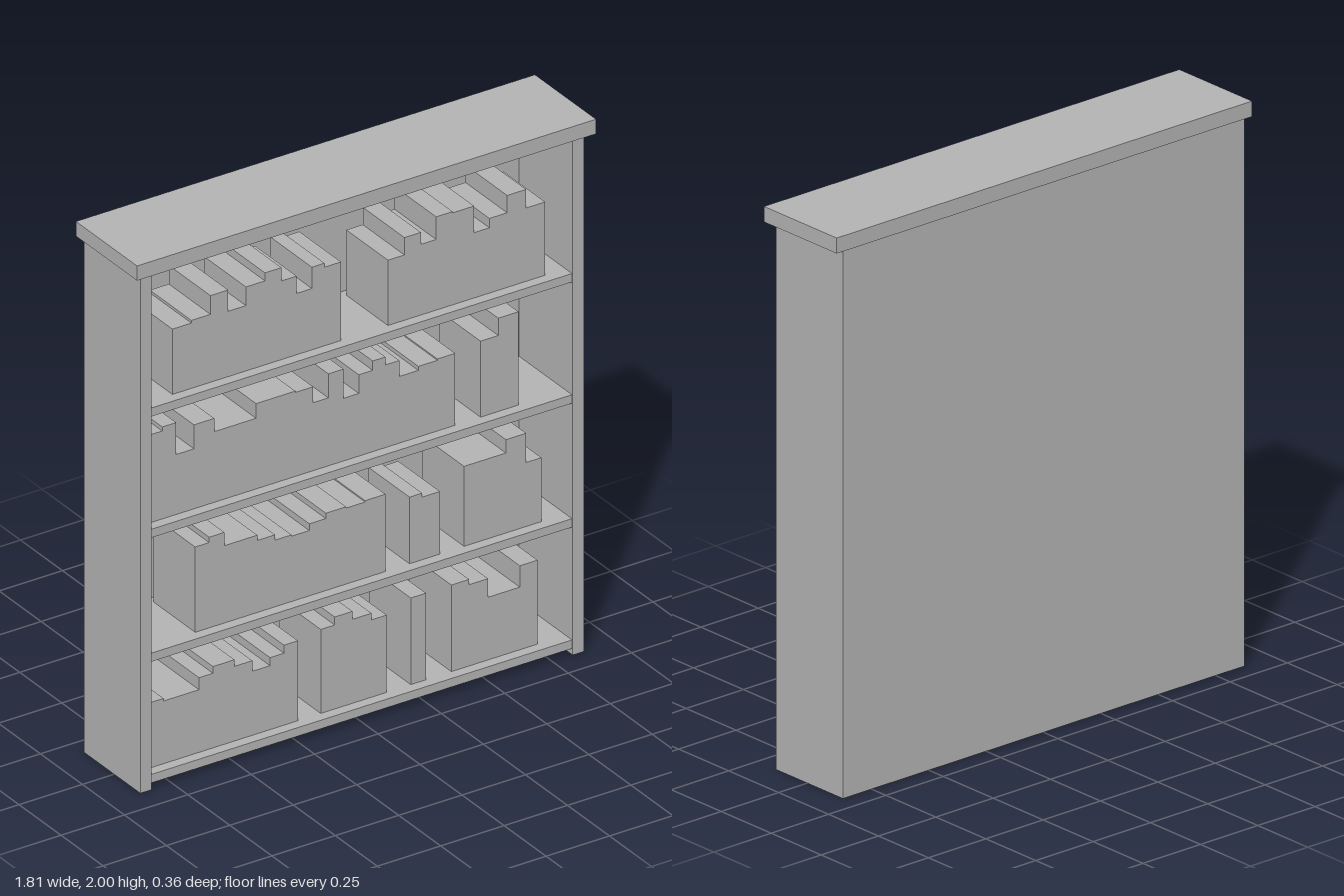
import * as THREE from 'three';

export function createModel() {
  const model = new THREE.Group();
  model.name = 'bookcase';
  const grey = new THREE.MeshStandardMaterial({ color: 0xb2b2b2 });
  grey.name = 'plain grey';

  // Box given by its lower and upper limits on each axis
  function box(name, [x0, x1], [y0, y1], [z0, z1], parent = model) {
    const mesh = new THREE.Mesh(new THREE.BoxGeometry(x1 - x0, y1 - y0, z1 - z0), grey);
    mesh.position.set((x0 + x1) / 2, (y0 + y1) / 2, (z0 + z1) / 2);
    mesh.name = name;
    parent.add(mesh);
  }

  // Carcass
  box('top', [-0.905, 0.905], [1.945, 2], [-0.182, 0.182]);
  box('rightSide', [-0.875, -0.83], [0, 1.945], [-0.178, 0.156]);
  box('leftSide', [0.83, 0.875], [0, 1.945], [-0.178, 0.156]);
  box('backPanel', [-0.83, 0.83], [0, 1.945], [-0.178, -0.163]);

  // Shelves, named from the bottom up
  const shelfTops = [0.055, 0.51, 0.975, 1.43];
  shelfTops.forEach((y, i) => {
    box(`shelf${i + 1}`, [-0.83, 0.83], [y - 0.032, y], [-0.163, 0.152]);
  });

  // A run of upright books standing side by side from x = start
  function bookRun(shelf, start, widths, heights) {
    const run = new THREE.Group();
    run.name = `booksOnShelf${shelf}`;
    const y = shelfTops[shelf - 1];
    let x = start;
    widths.forEach((w, i) => {
      box('book', [x, x + w], [y, y + heights[i]], [-0.135, 0.113], run);
      x += w;
    });
    model.add(run);
  }

  // Bottom shelf
  bookRun(1, -0.815, [0.06, 0.08, 0.06, 0.055, 0.085, 0.07, 0.07, 0.055, 0.055],
    [0.245, 0.235, 0.235, 0.28, 0.305, 0.28, 0.24, 0.27, 0.3]);
  bookRun(1, -0.135, [0.055, 0.07, 0.075, 0.06], [0.315, 0.345, 0.315, 0.29]);
  bookRun(1, 0.22, [0.06], [0.325]);
  bookRun(1, 0.38, [0.07, 0.075, 0.06, 0.065, 0.07], [0.325, 0.305, 0.235, 0.235, 0.315]);

  // Second shelf
  bookRun(2, -0.63, [0.055, 0.06, 0.065, 0.065, 0.07, 0.065, 0.07, 0.065, 0.08, 0.075, 0.08],
    [0.32, 0.34, 0.29, 0.29, 0.27, 0.25, 0.245, 0.27, 0.29, 0.285, 0.29]);
  bookRun(2, 0.215, [0.05, 0.07], [0.25, 0.235]);
  bookRun(2, 0.43, [0.075, 0.09, 0.08, 0.06], [0.3, 0.3, 0.35, 0.24]);

  // Third shelf
  bookRun(3, -0.815,
    [0.055, 0.055, 0.07, 0.08, 0.085, 0.08, 0.08, 0.075, 0.07, 0.06, 0.06, 0.06, 0.055, 0.05, 0.055, 0.075, 0.075, 0.07],
    [0.33, 0.345, 0.225, 0.315, 0.265, 0.265, 0.32, 0.32, 0.315, 0.255, 0.345, 0.235, 0.305, 0.34, 0.31, 0.25, 0.265, 0.27]);
  bookRun(3, 0.495, [0.07, 0.08], [0.285, 0.35]);

  // Top shelf
  bookRun(4, -0.72, [0.075, 0.075, 0.07, 0.07, 0.075, 0.065, 0.06, 0.06, 0.05, 0.065],
    [0.245, 0.255, 0.325, 0.245, 0.315, 0.345, 0.295, 0.23, 0.31, 0.295]);
  bookRun(4, 0.13, [0.065, 0.065, 0.06, 0.065, 0.085, 0.06, 0.07, 0.075, 0.075],
    [0.245, 0.31, 0.265, 0.35, 0.345, 0.245, 0.28, 0.345, 0.275]);

  return model;
}
